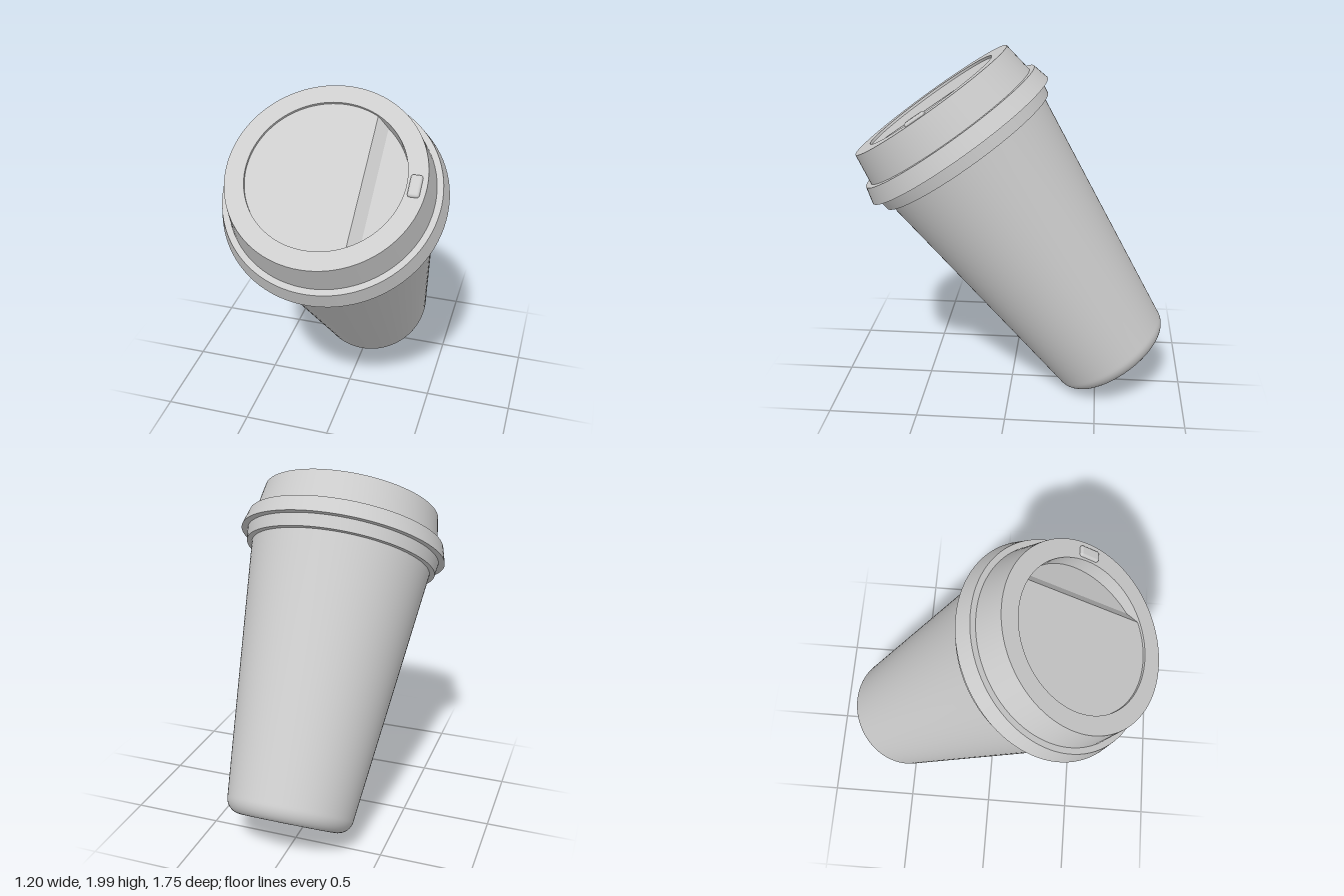
import * as THREE from 'three';
import { toCreasedNormals } from 'three/addons/utils/BufferGeometryUtils.js';
import { RoundedBoxGeometry } from 'three/addons/geometries/RoundedBoxGeometry.js';

const material = new THREE.MeshStandardMaterial({ color: 0xcccccc });
const TOP = 1.87; // height of the lid's rim along the cup's axis
const HOLE = 0.412; // radius of the recess in the lid

function part(name, geometry) {
  const mesh = new THREE.Mesh(geometry, material);
  mesh.name = name;
  return mesh;
}

function turned(name, points) {
  const profile = points.map(([r, y]) => new THREE.Vector2(r, y));
  return part(name, toCreasedNormals(new THREE.LatheGeometry(profile, 96), 0.5));
}

// Recess floor: rows across the disc, stepping down to a drinking hollow
function recessFloor() {
  const depthAt = (x) => {
    if (x < 0.19) return 0.014;
    if (x < 0.245) return 0.014 + ((x - 0.19) / 0.055) * 0.05;
    return 0.064 + ((x - 0.245) / (HOLE - 0.245)) * 0.036;
  };
  const xs = [];
  for (let i = 0; i <= 40; i++) xs.push(-HOLE * Math.cos((i / 40) * Math.PI));
  xs.push(0.19, 0.245);
  xs.sort((a, b) => a - b);
  const positions = [];
  const index = [];
  xs.forEach((x, i) => {
    const z = Math.sqrt(Math.max(0, HOLE * HOLE - x * x));
    const y = TOP - depthAt(x);
    positions.push(x, y, -z, x, y, z);
    const a = i * 2;
    if (i > 0) index.push(a - 2, a - 1, a, a, a - 1, a + 1);
  });
  const geometry = new THREE.BufferGeometry();
  geometry.setAttribute('position', new THREE.Float32BufferAttribute(positions, 3));
  geometry.setIndex(index);
  return part('lidRecessFloor', toCreasedNormals(geometry, 0.1));
}

export function createModel() {
  const cup = new THREE.Group();
  cup.name = 'takeawayCup';

  // Tapered body with a rounded foot
  const body = [[0, 0]];
  for (let i = 0; i <= 10; i++) {
    const a = (i / 10) * Math.PI / 2;
    body.push([0.265 + 0.09 * Math.sin(a), 0.09 - 0.09 * Math.cos(a)]);
  }
  body.push([0.526, 1.56]);
  cup.add(turned('cupBody', body));

  // Lid: skirt, flared ring, tapered wall, flat rim and inner wall
  cup.add(turned('lid', [
    [0.515, 1.53], [0.552, 1.53], [0.562, 1.6], [0.598, 1.6], [0.573, 1.694],
    [0.54, 1.694], [0.513, TOP], [HOLE, TOP], [HOLE, TOP - 0.11],
  ]));
  cup.add(recessFloor());

  // Small raised tab on the rim
  const tab = part('sipTab', new RoundedBoxGeometry(0.06, 0.034, 0.12, 4, 0.014));
  tab.position.set(0.455, TOP, 0);
  cup.add(tab);

  // The cup leans forward
  cup.rotation.x = THREE.MathUtils.degToRad(35);
  cup.position.set(0, 0.17, -0.62);

  const model = new THREE.Group();
  model.name = 'model';
  model.add(cup);
  return model;
}
